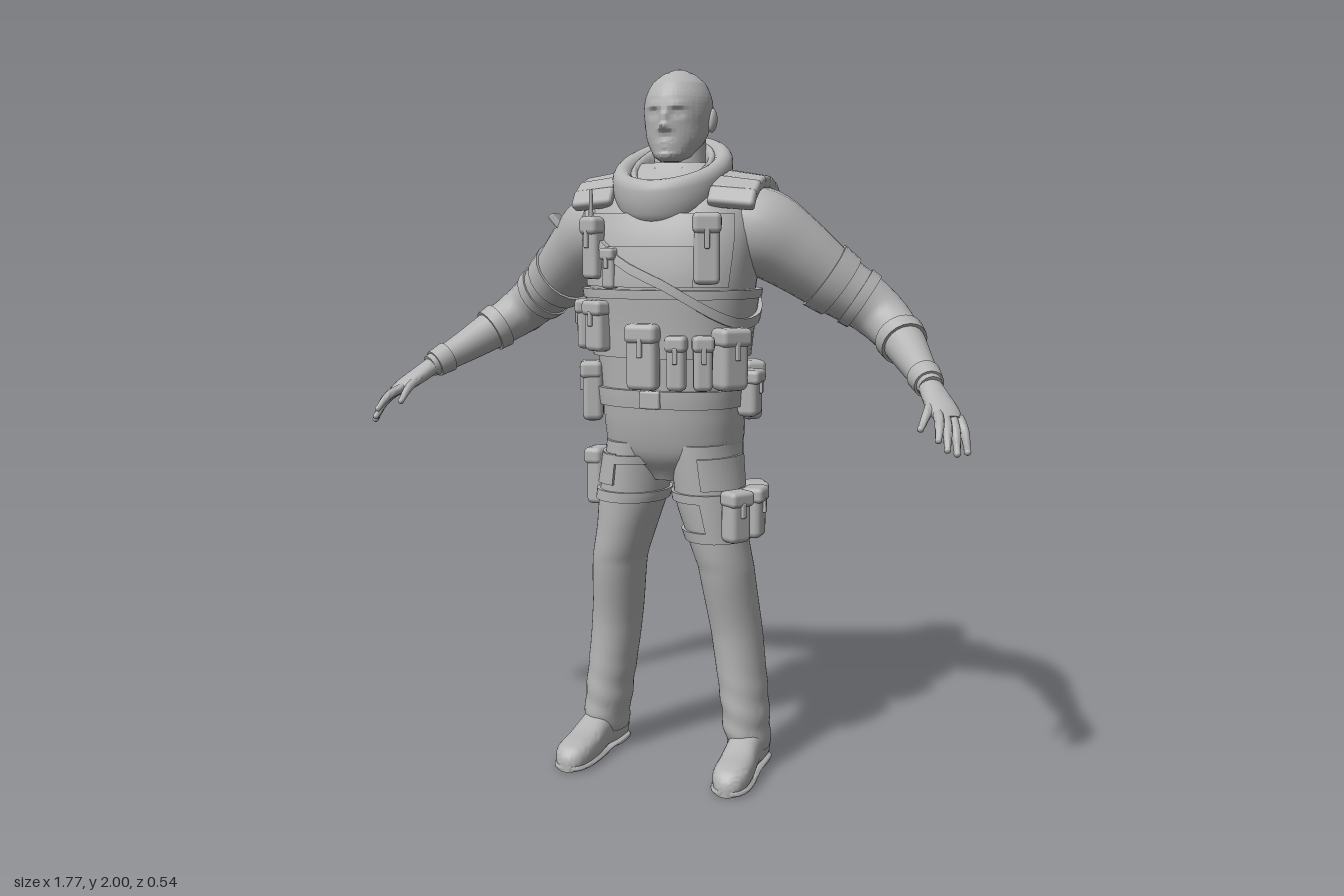
import * as THREE from 'three';
import { toCreasedNormals } from 'three/addons/utils/BufferGeometryUtils.js';
import { RoundedBoxGeometry } from 'three/addons/geometries/RoundedBoxGeometry.js';

const clay = new THREE.MeshStandardMaterial({ color: 0xb4b4b4 });
clay.name = 'clay grey';
const V = (x, y, z) => new THREE.Vector3(x, y, z);

// Cross-sections: [y, centre z, half width, half depth, centre x if not 0]
const BODY = [
  [0.85, -0.04, 0.07, 0.09], [0.92, -0.04, 0.18, 0.14], [1, -0.04, 0.2, 0.163], [1.09, -0.02, 0.2, 0.155],
  [1.3, -0.015, 0.222, 0.162], [1.42, -0.02, 0.24, 0.175], [1.54, -0.035, 0.25, 0.172],
  [1.62, -0.05, 0.235, 0.155], [1.68, -0.07, 0.2, 0.135], [1.74, -0.08, 0.11, 0.09]];
const LEG = [
  [0.06, -0.055, 0.06, 0.08, 0.226], [0.12, -0.05, 0.066, 0.089, 0.222], [0.4, -0.05, 0.073, 0.09, 0.19],
  [0.6, -0.02, 0.078, 0.098, 0.166], [0.7, -0.015, 0.086, 0.107, 0.14], [0.8, -0.015, 0.098, 0.115, 0.118],
  [0.96, -0.04, 0.095, 0.148, 0.1]];
const HEAD = [
  [1.742, -0.015, 0.03, 0.035], [1.755, -0.022, 0.052, 0.057], [1.8, -0.046, 0.08, 0.083], [1.84, -0.06, 0.09, 0.1],
  [1.88, -0.066, 0.095, 0.11], [1.92, -0.068, 0.091, 0.107], [1.96, -0.07, 0.073, 0.085],
  [1.985, -0.072, 0.044, 0.053], [1.996, -0.073, 0.018, 0.022], [2, -0.073, 0.002, 0.002]];
const NECK = [[1.58, -0.07, 0.1, 0.1], [1.7, -0.075, 0.078, 0.08], [1.84, -0.085, 0.07, 0.075]];
// Limb path: [x, y, z, radius]
const ARM = [
  [0.15, 1.575, -0.07, 0.105], [0.24, 1.55, -0.085, 0.122], [0.33, 1.49, -0.12, 0.108], [0.43, 1.41, -0.165, 0.09],
  [0.52, 1.348, -0.195, 0.079], [0.58, 1.3, -0.185, 0.071], [0.64, 1.25, -0.125, 0.06], [0.7, 1.195, -0.035, 0.046],
  [0.755, 1.148, 0.055, 0.033]];

// Smooth curve through rows of numbers
function blend(rows, i, u) {
  const at = k => rows[Math.min(Math.max(k, 0), rows.length - 1)];
  const [a, b, c, d] = [at(i - 1), at(i), at(i + 1), at(i + 2)];
  return b.map((_, k) => b[k] + 0.5 * u * (c[k] - a[k] + u * (2 * a[k] - 5 * b[k] + 4 * c[k] - d[k]
    + u * (3 * (b[k] - c[k]) + d[k] - a[k]))));
}

const rounded = (v, k) => Math.sign(v) * Math.abs(v) ** k;

// Point on an upright body part at angle a (0 = front, towards +x) and height y
function surf(rows, a, y, off = 0) {
  let i = 0;
  while (i < rows.length - 2 && y > rows[i + 1][0]) i++;
  const u = Math.min(Math.max((y - rows[i][0]) / (rows[i + 1][0] - rows[i][0]), 0), 1);
  const [, cz, rx, rz, cx = 0] = blend(rows, i, u);
  const k = rows === BODY ? 0.83 : 1;
  return V(cx + (rx + off) * rounded(Math.sin(a), k), y, cz + (rz + off) * rounded(Math.cos(a), k));
}

// Closed solid skinned over rings of points
function skin(rings, crease = 0.75) {
  const n = rings[0].length, m = rings.length, pts = rings.flat(), idx = [];
  for (let i = 0; i < m - 1; i++) for (let j = 0; j < n; j++) {
    const a = i * n + j, b = i * n + (j + 1) % n;
    idx.push(a, b, b + n, a, b + n, a + n);
  }
  [0, m - 1].forEach(r => {
    const c = pts.length;
    pts.push(rings[r].reduce((s, p) => s.add(p), V(0, 0, 0)).divideScalar(n));
    for (let j = 0; j < n; j++) {
      const a = r * n + j, b = r * n + (j + 1) % n;
      idx.push(c, r ? a : b, r ? b : a);
    }
  });
  let volume = 0;
  for (let k = 0; k < idx.length; k += 3)
    volume += pts[idx[k]].dot(V(0, 0, 0).crossVectors(pts[idx[k + 1]], pts[idx[k + 2]]));
  if (volume < 0) idx.reverse();
  const g = new THREE.BufferGeometry().setFromPoints(pts);
  g.setIndex(idx);
  return toCreasedNormals(g, crease);
}

const ring = (n, f) => Array.from({ length: n }, (_, j) => f(j / n * Math.PI * 2));

export function createModel() {
  const root = new THREE.Group();
  root.name = 'soldier';
  const add = (name, geo, x = 0, y = 0, z = 0) => {
    const m = new THREE.Mesh(geo, clay);
    m.name = name;
    m.position.set(x, y, z);
    root.add(m);
    return m;
  };
  const upright = (name, rows, steps, rule = p => p, seg = 40, crease = 0.9) => {
    const y0 = rows[0][0], y1 = rows[rows.length - 1][0];
    add(name, skin(Array.from({ length: steps + 1 }, (_, i) =>
      ring(seg, a => rule(surf(rows, a, y0 + (y1 - y0) * i / steps), a))), crease));
  };
  // Raised band or panel that hugs an upright part
  const band = (name, rows, y, h, thick, a0 = 0, a1 = Math.PI * 2) => {
    const yOf = typeof y === 'function' ? y : () => y, N = 48, K = 5, rings = [];
    for (let i = 0; i <= N; i++) {
      const a = a0 + (a1 - a0) * i / N, r = [];
      for (let k = 0; k <= K; k++) r.push(surf(rows, a, yOf(a) + h * (k / K - 0.5), thick));
      for (let k = K; k >= 0; k--) r.push(surf(rows, a, yOf(a) + h * (k / K - 0.5), -0.01));
      rings.push(r);
    }
    add(name, skin(rings, 0.6));
  };
  // Limb swept along rows of [x, y, z, width, depth]
  const limb = (name, rows, side, per = 5, seg = 20) => {
    const c = [];
    for (let i = 0; i < rows.length - 1; i++) for (let k = 0; k < per; k++) c.push(blend(rows, i, k / per));
    c.push(rows[rows.length - 1]);
    const P = c.map(q => V(q[0] * side, q[1], q[2]));
    add(name, skin(c.map((q, i) => {
      const T = P[Math.min(i + 1, P.length - 1)].clone().sub(P[Math.max(i - 1, 0)]).normalize();
      const N = V(0, 0, 0).crossVectors(T, V(0, 1, 0)).normalize(), B = V(0, 0, 0).crossVectors(N, T);
      return ring(seg, a => P[i].clone().addScaledVector(N, q[3] * Math.cos(a))
        .addScaledVector(B, (q[4] ?? q[3]) * Math.sin(a)));
    })));
  };
  // Strap around the arm between two fractions of its path
  const armBand = (name, side, t0, t1, grow) => limb(name, [t0, t1].map(t => {
    const [x, y, z, r] = blend(ARM, Math.floor(t), t % 1);
    return [x, y, z, r + grow];
  }), side, 2);
  const box = (name, x, y, z, w, h, d, yaw = 0, pitch = 0, roll = 0) => {
    const m = add(name, new RoundedBoxGeometry(w, h, d, 2, Math.min(w, h, d) * 0.3), x, y, z);
    m.rotation.set(pitch, yaw, roll, 'YXZ');
  };
  const ball = (name, x, y, z, a, b, c) => {
    const m = add(name, new THREE.SphereGeometry(1, 24, 16), x, y, z);
    m.scale.set(a, b, c);
    return m;
  };
  // Pouch with flap and clasp, seated on a body part and facing outwards
  const pouch = (rows, a, y, w, h, d) => {
    const p = surf(rows, a, y, d * 0.45), t = surf(rows, a + 0.08, y).sub(surf(rows, a - 0.08, y));
    const yaw = Math.atan2(-t.z, t.x), sx = Math.sin(yaw), sz = Math.cos(yaw);
    box('pouch', p.x, y, p.z, w, h, d, yaw);
    box('pouchFlap', p.x + sx * 0.005, y + h * 0.36, p.z + sz * 0.005, w + 0.008, h * 0.3, d + 0.006, yaw);
    box('pouchClasp', p.x + sx * d * 0.55, y + h * 0.15, p.z + sz * d * 0.55, 0.014, h * 0.3, 0.012, yaw);
  };

  // Head: face features are soft bumps [x, y, push, spread x, spread y]
  const bumps = [[0, 1.836, 0.024, 0.012, 0.011], [0, 1.862, 0.012, 0.009, 0.02], [0, 1.794, 0.008, 0.024, 0.006],
    [0, 1.779, 0.006, 0.02, 0.005], [0, 1.757, 0.01, 0.025, 0.012]];
  for (const s of [-1, 1]) bumps.push([s * 0.036, 1.872, -0.011, 0.017, 0.011], [s * 0.036, 1.871, 0.006, 0.012, 0.005],
    [s * 0.034, 1.894, 0.006, 0.022, 0.007], [s * 0.013, 1.83, 0.007, 0.008, 0.007]);
  upright('head', HEAD, 72, (p, a) => {
    const { x, y } = p;
    if (Math.cos(a) > 0) for (const [bx, by, d, sx, sy] of bumps)
      p.z += d * Math.exp(-(((x - bx) / sx) ** 2) - ((y - by) / sy) ** 2);
    return p;
  }, 96, 1.4);
  upright('neck', NECK, 12);

  // Torso and vest
  upright('torso', BODY, 50);
  band('cummerbund', BODY, 1.29, 0.17, 0.014);
  band('chestStrap', BODY, 1.38, 0.025, 0.02);
  band('vestChest', BODY, 1.5, 0.2, 0.012, -0.95, 0.95);
  band('frontPlate', BODY, 1.455, 0.11, 0.022, -0.42, 0.45);
  band('vestBack', BODY, 1.51, 0.28, 0.012, Math.PI - 0.95, Math.PI + 0.95);
  band('backYoke', BODY, 1.635, 0.05, 0.018, Math.PI - 0.75, Math.PI + 0.75);
  band('sling', BODY, a => 1.47 - 0.17 * Math.sin(a + 0.25), 0.028, 0.027);
  band('belt', BODY, 1.09, 0.05, 0.014);
  box('beltBuckle', 0, 1.09, 0.147, 0.06, 0.05, 0.02);
  for (const x of [-0.08, 0.08]) box('backBuckle', x, 1.65, -0.215, 0.035, 0.06, 0.025);

  // High padded collar, tilted down to the front
  const collar = (name, radius, dy, thick, depth) => add(name, skin(Array.from({ length: 65 }, (_, i) => {
    const a = i / 64 * Math.PI * 2;
    return ring(16, t => {
      const r = radius + thick * Math.cos(t), s = Math.sin(t);
      return V(r * Math.sin(a), 1.72 + dy - 0.065 * Math.cos(a) + s * (s > 0 ? 0.035 : depth),
        -0.022 + (r + 0.006) * Math.cos(a));
    });
  }), 1));
  collar('collarOuter', 0.14, 0, 0.028, 0.085);
  collar('collarInner', 0.108, -0.01, 0.014, 0.06);
  for (const s of [-1, 1]) box('shirtCollar', s * 0.035, 1.685, 0.035, 0.03, 0.09, 0.012, s * 0.5, -0.4, s * -0.6);

  // Vest pouches: angle, height, then size
  pouch(BODY, -0.03, 1.21, 0.088, 0.18, 0.05);
  [0.29, 0.63].forEach(a => pouch(BODY, a, 1.195, 0.052, 0.15, 0.05));
  pouch(BODY, 1.03, 1.205, 0.09, 0.17, 0.07);
  [-0.65, -1.25].forEach(a => pouch(BODY, a, 1.29, 0.072, 0.14, 0.05));
  pouch(BODY, -0.64, 1.505, 0.06, 0.17, 0.045);
  pouch(BODY, -0.38, 1.45, 0.04, 0.11, 0.035);
  pouch(BODY, 0.57, 1.505, 0.07, 0.19, 0.045);
  pouch(BODY, -2.75, 1.28, 0.055, 0.17, 0.04);
  [-1.2, 1.65, 2.15, 2.65, 3.14, -2.65, -2.05].forEach((a, i) => pouch(BODY, a, 1.1, 0.08, i % 2 ? 0.13 : 0.17, 0.058));
  add('radioAntenna', new THREE.CylinderGeometry(0.005, 0.007, 0.09, 10), -0.19, 1.62, 0.115);
  box('shoulderFlap', -0.365, 1.56, -0.07, 0.02, 0.1, 0.08, 0.2, 0, 0.7);

  for (const s of [-1, 1]) {
    ball('ear', s * 0.095, 1.858, -0.082, 0.013, 0.034, 0.021).rotation.x = -0.2;
    // Ribbed shoulder strap
    for (let i = 0; i < 7; i++) {
      const t = (i - 3) * 0.33;
      box('shoulderStrap', s * 0.205, 1.573 + 0.122 * Math.cos(t), -0.06 + 0.145 * Math.sin(t), 0.13, 0.035, 0.055, 0, t, s * -0.16);
    }
    // Arms
    limb('arm', ARM, s);
    armBand('sleeveHem', s, 2.75, 3.2, 0.008);
    armBand('elbowStrap', s, 3.6, 3.9, 0.006);
    armBand('forearmStrap', s, 5.75, 6.1, 0.008);
    armBand('gloveCuff', s, 7.4, 7.8, 0.006);
    ball('elbowPad', s * 0.57, 1.305, -0.215, 0.066, 0.07, 0.05).rotation.set(0, s * -0.5, s * 0.7, 'YXZ');
    box('armPocket', s * 0.425, 1.45, -0.225, 0.1, 0.08, 0.03, Math.PI + s * 0.4, 0, s * 0.7);
    // Hands: four fingers fan out from first to little, then the thumb
    limb('palm', [[0.745, 1.157, 0.04, 0.03, 0.026], [0.775, 1.125, 0.085, 0.038, 0.024],
      [0.805, 1.095, 0.128, 0.042, 0.02], [0.822, 1.078, 0.15, 0.034, 0.014]], s);
    const finger = (name, base, tip) => {
      const mid = base.map((v, k) => (v + tip[k]) / 2 + (k === 1 ? 0.007 : 0.004));
      limb(name, [[...base, 0.014], [...mid, 0.0125], [...tip, 0.008]], s, 4, 10);
      ball(name + 'Tip', s * tip[0], tip[1], tip[2], 0.009, 0.009, 0.009);
    };
    for (let i = 0; i < 4; i++) {
      const f = i / 3, reach = Math.sin(f * Math.PI);
      finger('finger', [0.793 + 0.048 * f, 1.092 - 0.012 * f, 0.15 - 0.028 * f],
        [0.815 + 0.059 * f, 1.04 - 0.038 * f - 0.015 * reach, 0.25 - 0.08 * f + 0.01 * reach]);
    }
    finger('thumb', [0.765, 1.118, 0.09], [0.762, 1.06, 0.21]);

    // Legs, creased above the shoes
    const leg = LEG.map(([y, cz, rx, rz, cx]) => [y, cz, rx, rz, cx * s]);
    upright('trouserLeg', leg, 70, (p, a) => {
      const k = 0.004 * Math.sin(p.y * 75 + 2 * Math.sin(a)) * Math.max(0, 1 - p.y / 0.32);
      return p.add(V(k * Math.sin(a), 0, k * Math.cos(a)));
    });
    const lift = s > 0 ? 0 : 0.1;
    band('upperThighStrap', leg, 0.81 + lift, 0.025, 0.009);
    band('lowerThighStrap', leg, 0.7 + lift, 0.03, 0.009);
    band('thighPocket', leg, 0.88, 0.09, 0.008, s * 0.2, s * 1.7);
    if (s > 0) {
      band('thighRig', leg, 0.755, 0.12, 0.007, 0.1, 2.7);
      [0.95, 1.6, 2.25].forEach(a => pouch(leg, a, 0.765, 0.072, 0.145, 0.06));
    } else [-1.57, -2.3].forEach(a => pouch(leg, a, 0.84, 0.08, 0.165, 0.05));

    // Shoes: [z, x, half width, top]
    const shoe = [[-0.135, 0.228, 0.028, 0.06], [-0.115, 0.228, 0.046, 0.1], [-0.04, 0.23, 0.05, 0.13],
      [0.03, 0.235, 0.049, 0.115], [0.09, 0.239, 0.053, 0.09], [0.15, 0.242, 0.052, 0.078],
      [0.185, 0.243, 0.04, 0.065], [0.204, 0.243, 0.018, 0.04]];
    const shoePart = (name, grow, topOf) => add(name, skin(Array.from({ length: 29 }, (_, i) => {
      const k = Math.min(Math.floor(i / 4), 6), [z, x, w, top] = blend(shoe, k, i / 4 - k);
      const low = 0.01 * Math.exp(-((z / 0.03) ** 2)), h = topOf(top);
      return ring(24, a => V(s * (x + (w + grow) * rounded(Math.cos(a), 0.75)),
        low + (h - low) * (0.5 + 0.5 * rounded(Math.sin(a), 0.75)), z));
    }), 1));
    shoePart('shoe', 0, t => t);
    shoePart('sole', 0.005, () => 0.022);
  }
  return root;
}
